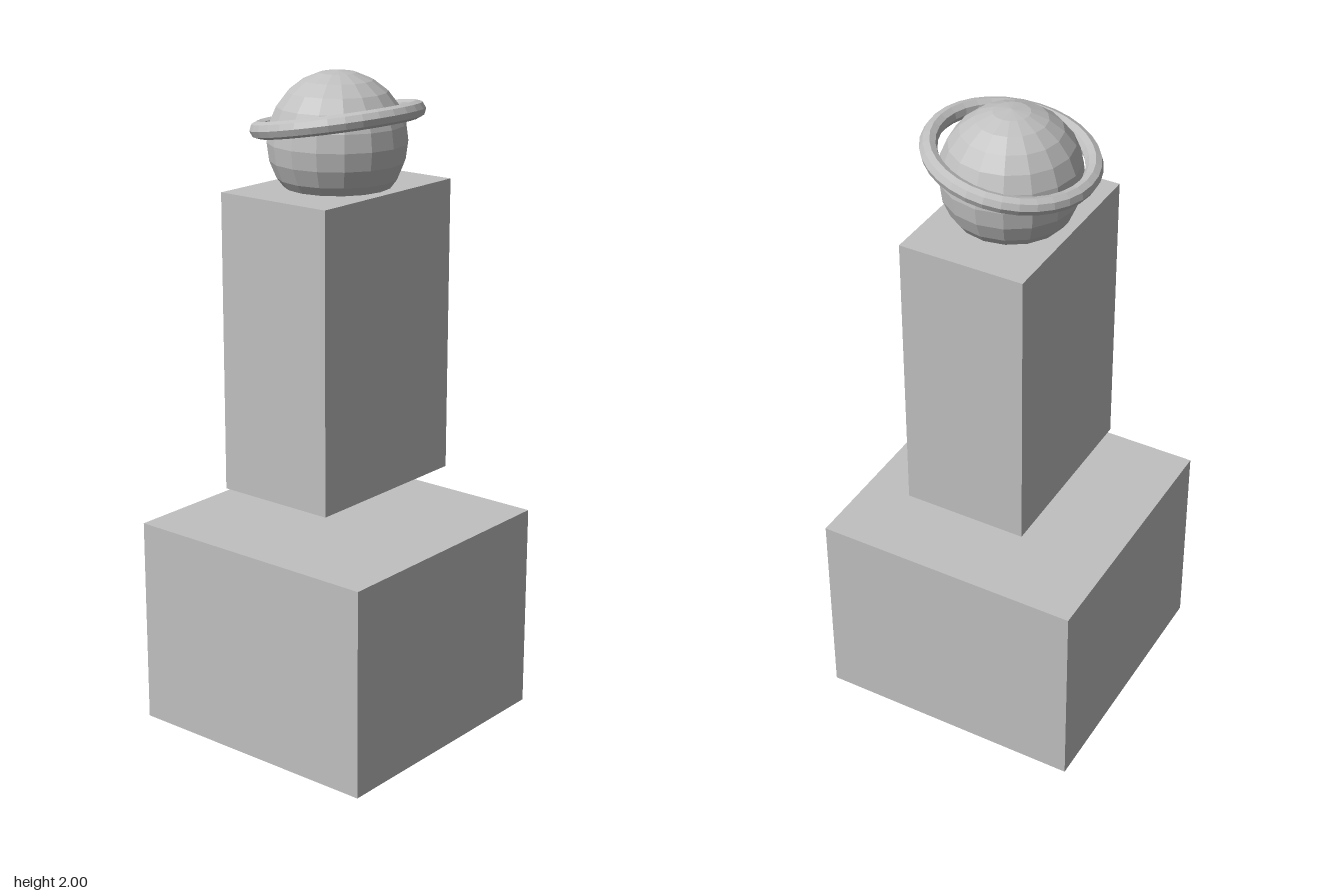
import * as THREE from 'three';

export function createModel() {
  const group = new THREE.Group();
  const grey = new THREE.MeshStandardMaterial({ color: 0xc0c0c0, flatShading: true });
  grey.name = 'light grey';

  const add = (name, geometry, y) => {
    const mesh = new THREE.Mesh(geometry, grey);
    mesh.name = name;
    mesh.position.y = y;
    group.add(mesh);
    return mesh;
  };

  // Square pedestal with the torso floating above it
  add('base', new THREE.BoxGeometry(0.833, 0.641, 0.833), 0.3205);
  add('torso', new THREE.BoxGeometry(0.577, 0.897, 0.385), 1.218);

  // Faceted head, sunk slightly into the torso
  add('head', new THREE.SphereGeometry(0.205, 16, 12), 1.795);

  // Ring around the head, raised at the front
  const ring = add('headRing', new THREE.TorusGeometry(0.2305, 0.0255, 8, 32), 1.859);
  ring.rotation.x = 1.4;

  return group;
}
